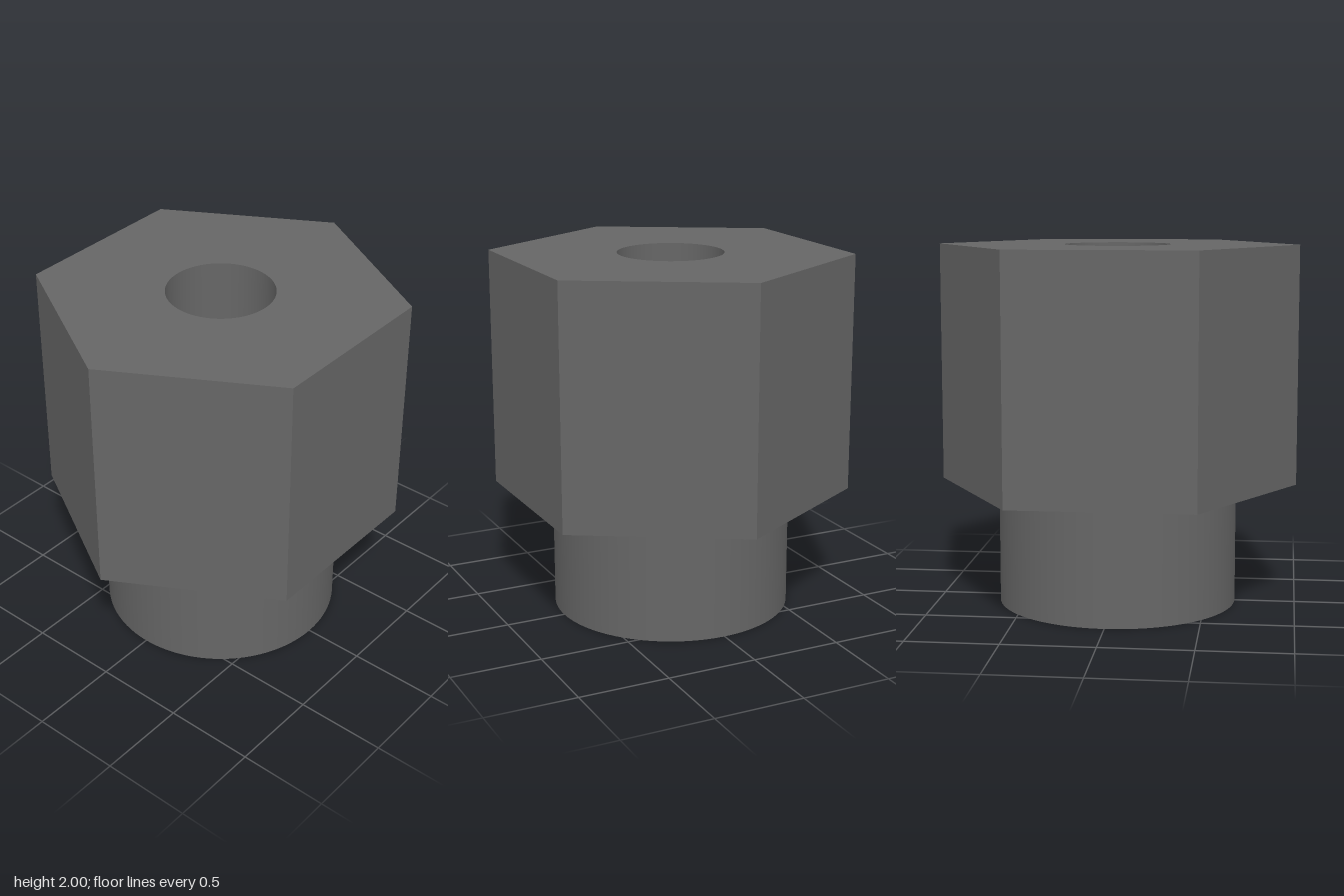
import * as THREE from 'three';

const HEX_R = 1, COLLAR_R = 0.665, BORE_R = 0.293;
const TOP = 2, STEP = 0.67, SEGMENTS = 96;

// Flat hexagon with a round hole, facing up (+1) or down (-1)
function hexFace(holeRadius, y, facing) {
  const corners = [];
  for (let i = 0; i < 6; i++) {
    const a = (i * Math.PI) / 3;
    corners.push(new THREE.Vector2(HEX_R * Math.cos(a), HEX_R * Math.sin(a)));
  }
  const shape = new THREE.Shape(corners);
  shape.holes.push(new THREE.Path().absarc(0, 0, holeRadius, 0, Math.PI * 2, true));
  return new THREE.ShapeGeometry(shape, SEGMENTS / 2)
    .rotateX((-facing * Math.PI) / 2)
    .translate(0, y, 0);
}

// Smooth round wall; running from top to bottom makes it face inwards
function roundWall(radius, yStart, yEnd) {
  const profile = [new THREE.Vector2(radius, yStart), new THREE.Vector2(radius, yEnd)];
  return new THREE.LatheGeometry(profile, SEGMENTS);
}

export function createModel() {
  const model = new THREE.Group();
  model.name = 'hexSpacer';
  const metal = new THREE.MeshStandardMaterial({ color: 0x666666 });
  metal.name = 'darkGrey';

  function add(name, geometry, parent) {
    const mesh = new THREE.Mesh(geometry, metal);
    mesh.name = name;
    parent.add(mesh);
  }

  // Hexagonal head with crisp flat sides
  const head = new THREE.Group();
  head.name = 'hexHead';
  const sides = new THREE.CylinderGeometry(HEX_R, HEX_R, TOP - STEP, 6, 1, true, Math.PI / 2)
    .translate(0, (TOP + STEP) / 2, 0)
    .toNonIndexed();
  sides.computeVertexNormals();
  add('headSides', sides, head);
  add('headTop', hexFace(BORE_R, TOP, 1), head);
  add('headUnderside', hexFace(COLLAR_R, STEP, -1), head);

  // Round collar below the head
  const collar = new THREE.Group();
  collar.name = 'collar';
  add('collarWall', roundWall(COLLAR_R, 0, STEP), collar);
  add('collarBottom', new THREE.RingGeometry(BORE_R, COLLAR_R, SEGMENTS).rotateX(Math.PI / 2), collar);

  // Bore through the whole length
  add('bore', roundWall(BORE_R, TOP, 0), model);

  model.add(head, collar);
  return model;
}
